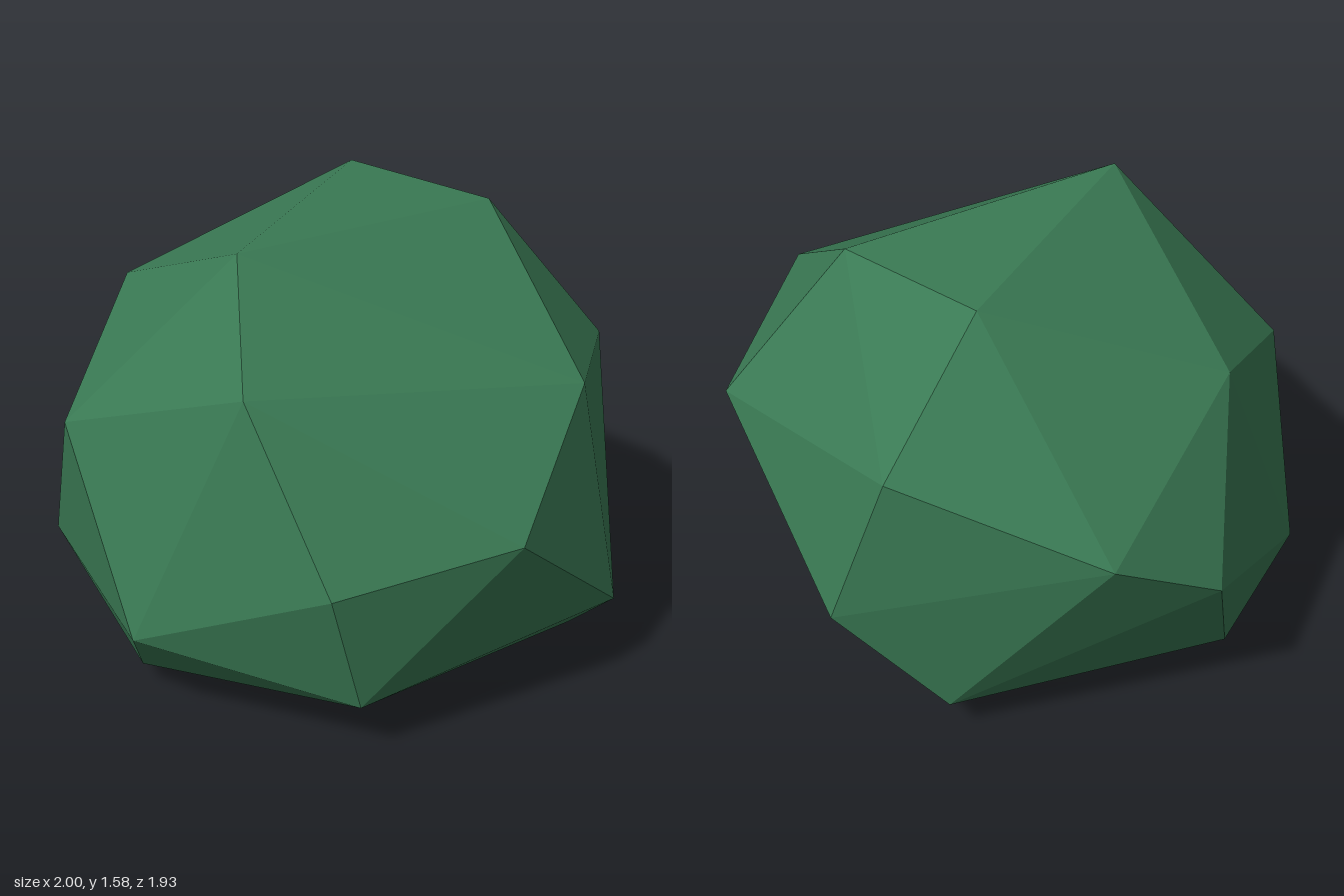
import * as THREE from 'three';
import { ConvexGeometry } from 'three/addons/geometries/ConvexGeometry.js';

export function createModel() {
  const group = new THREE.Group();
  group.name = 'facetedBush';

  const green = new THREE.MeshStandardMaterial({ color: 0x3a7a54, flatShading: true });
  green.name = 'leaf green';

  // Corners of the faceted lump, ring by ring from the top down
  const crown = [[-0.21, 1.58, 0.47], [0.4, 1.54, -0.34], [-0.15, 1.555, -0.51]];
  const shoulder = [
    [0.86, 1.13, 0.13], [0.77, 1.0, -0.55], [-0.02, 1.12, -0.92], [-0.73, 0.885, -0.75],
    [-0.83, 1.22, -0.04], [-0.78, 0.96, 0.62], [-0.06, 1.255, 0.83],
  ];
  const waist = [
    [0.27, 0.67, 0.965], [0.79, 0.76, 0.6], [1.0, 0.31, 0.1], [0.17, 0.54, -0.965],
    [-0.98, 0.65, -0.43], [-1.0, 0.34, 0.3], [-0.425, 0.37, 0.94],
  ];
  const base = [
    [0.33, 0.21, 0.85], [0.83, 0.13, 0.02], [-0.18, 0.15, -0.81],
    [-0.92, 0.17, -0.14], [-0.52, 0.085, 0.67], [0.03, 0, 0.14],
  ];

  // Flat facets stretched over the corners
  const points = [...crown, ...shoulder, ...waist, ...base].map((p) => new THREE.Vector3(...p));
  const bush = new THREE.Mesh(new ConvexGeometry(points), green);
  bush.name = 'bush';
  group.add(bush);
  return group;
}
